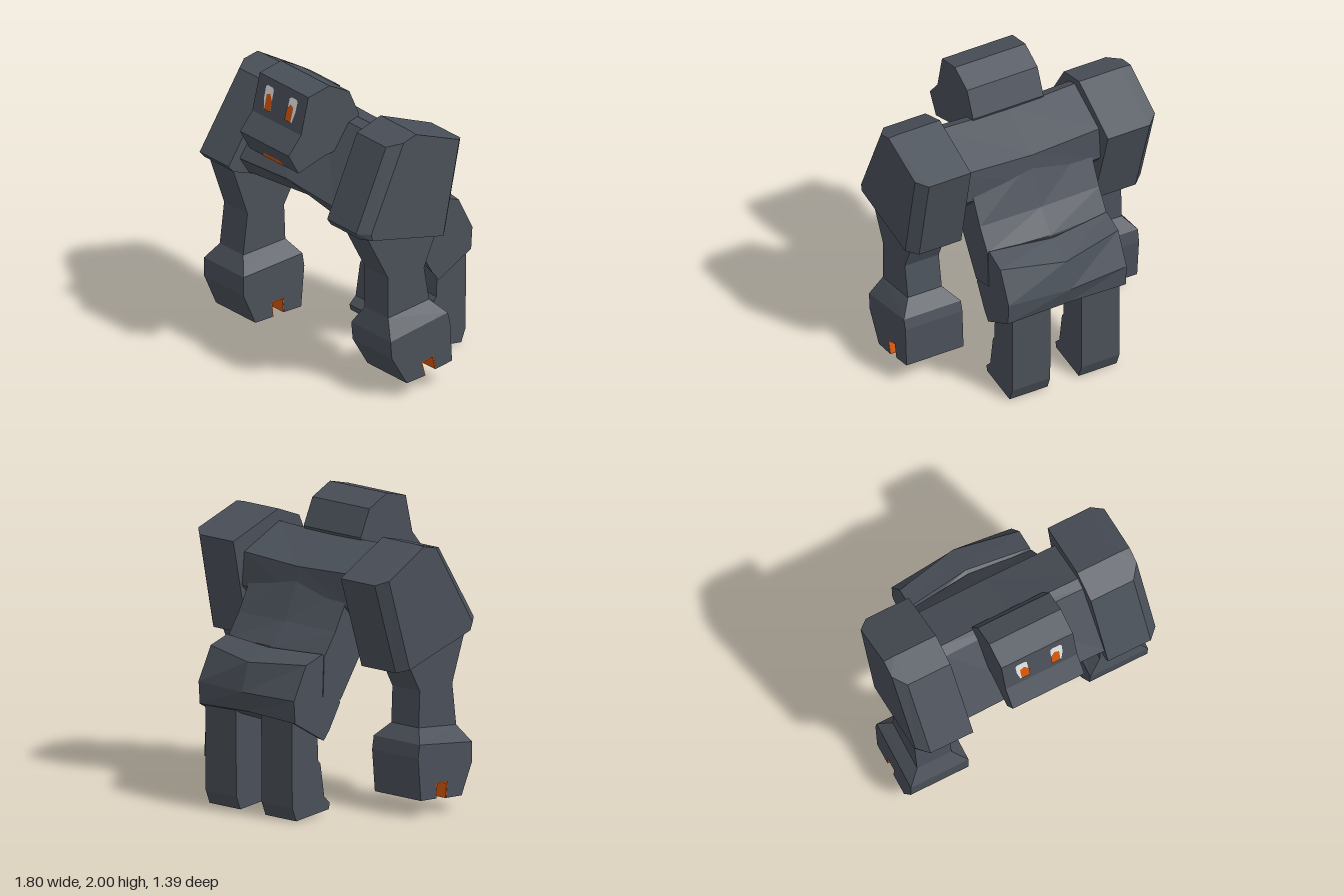
import * as THREE from 'three';

const stone = new THREE.MeshStandardMaterial({ color: 0x4a5059 });
stone.name = 'slate grey';
const ember = new THREE.MeshStandardMaterial({ color: 0xd4560c });
ember.name = 'ember orange';
const white = new THREE.MeshStandardMaterial({ color: 0xe2e2e2 });
white.name = 'eye white';

// Faceted solid through rings of [x, y, z] points, closed at both ends
function loft(name, rings, material = stone) {
  const n = rings[0].length, tris = [];
  for (let r = 0; r < rings.length - 1; r++) {
    for (let i = 0; i < n; i++) {
      const a = rings[r][i], b = rings[r][(i + 1) % n];
      const c = rings[r + 1][(i + 1) % n], d = rings[r + 1][i];
      tris.push([a, b, c], [a, c, d]);
    }
  }
  const sideways = rings[0].every(p => p[0] === rings[0][0][0]);
  const cap = (ring, flip) => {
    const flat = ring.map(p => new THREE.Vector2(sideways ? p[2] : p[0], sideways ? p[1] : p[2]));
    const up = THREE.ShapeUtils.isClockWise(flat);
    for (const f of THREE.ShapeUtils.triangulateShape(flat, [])) {
      const t = f.map(i => ring[i]);
      // make every cap triangle follow the ring direction
      const [p, q, s] = f.map(i => flat[i]);
      const cw = (q.x - p.x) * (s.y - p.y) - (q.y - p.y) * (s.x - p.x) < 0;
      if ((cw !== up) !== flip) t.reverse();
      tris.push(t);
    }
  };
  cap(rings[0], true);
  cap(rings[rings.length - 1], false);
  // turn the solid outward if its volume is negative
  const v = tris.map(t => t.map(p => new THREE.Vector3(...p)));
  const volume = v.reduce((s, [a, b, c]) => s + a.dot(b.clone().cross(c)), 0);
  if (volume < 0) v.forEach(t => t.reverse());
  const g = new THREE.BufferGeometry().setFromPoints(v.flat());
  g.computeVertexNormals();
  const mesh = new THREE.Mesh(g, material);
  mesh.name = name;
  return mesh;
}

// Side profile of [z, y] points placed at x
const at = (x, profile) => profile.map(([z, y]) => [x, y, z]);
const slab = (name, x0, x1, profile, material) => loft(name, [at(x0, profile), at(x1, profile)], material);
// Symmetric solid with a different profile on the centre line
const ridged = (name, w, side, centre) => loft(name, [at(-w, side), at(0, centre), at(w, side)]);
// Horizontal four-sided ring; front and back are [z, y]
const band = (x0, x1, [fz, fy], [bz, by]) => [[x0, fy, fz], [x1, fy, fz], [x1, by, bz], [x0, by, bz]];

// Thin painted face on a sloping plane z = zAt(y)
function plate(name, points, zAt, material) {
  const g = new THREE.ShapeGeometry(new THREE.Shape(points.map(p => new THREE.Vector2(...p))));
  const pos = g.attributes.position;
  for (let i = 0; i < pos.count; i++) pos.setZ(i, zAt(pos.getY(i)));
  g.computeVertexNormals();
  const mesh = new THREE.Mesh(g, material);
  mesh.name = name;
  return mesh;
}

function head() {
  const g = new THREE.Group();
  g.name = 'head';
  g.add(slab('skull', -0.26, 0.26, [[0.36, 2], [0.53, 1.96], [0.59, 1.71], [0.69, 1.59],
    [0.61, 1.45], [0.4, 1.52], [0.2, 1.55], [0.12, 1.74], [0.2, 1.92]]));
  const brow = off => y => 0.53 + (1.96 - y) * 0.24 + off;
  for (const s of [-1, 1]) {
    const m = pts => pts.map(([x, y]) => [s * x, y]);
    g.add(plate('eyeWhite', m([[0.085, 1.9], [0.1, 1.912], [0.155, 1.912], [0.168, 1.9], [0.166, 1.83],
      [0.148, 1.757], [0.08, 1.757]]), brow(0.004), white));
    g.add(plate('iris', m([[0.078, 1.758], [0.078, 1.83], [0.11, 1.87], [0.142, 1.855], [0.14, 1.758]]),
      brow(0.008), ember));
  }
  g.add(plate('mouth', [[-0.11, 1.452], [-0.105, 1.472], [-0.08, 1.488], [0.08, 1.488], [0.105, 1.472],
    [0.11, 1.452]], y => 0.61 + (y - 1.45) * 0.571 + 0.005, ember));
  return g;
}

// Arm on side s: shoulder block, forearm, flared wrist and split fist
function arm(name, s, p) {
  const g = new THREE.Group();
  g.name = name;
  g.add(loft('shoulder', [at(s * 0.5, p.shoulder), at(s * 0.81, p.shoulder), at(s * 0.88, p.inset)]));
  const x0 = s * 0.57, x1 = s * 0.82;
  g.add(loft('forearm', [
    band(x0, x1, ...p.top), band(x0, x1, ...p.elbow), band(x0, x1, ...p.wrist),
    band(s * 0.48, s * 0.9, ...p.knuckle),
  ]));
  const [kf, kb] = p.knuckle;
  g.add(slab('fist', s * 0.48, s * 0.9, [kf, ...p.front, ...p.notch, ...p.back, kb]));
  // glowing lining of the notch
  const [a, b, c, d] = p.notch, t = 0.007;
  g.add(slab('fistGlow', s * 0.481, s * 0.899, [a, b, c, d, [d[0] + t, d[1]], [c[0] + t, c[1] - t],
    [b[0] - t, b[1] - t], [a[0] - t, a[1]]], ember));
  return g;
}

export function createModel() {
  const model = new THREE.Group();
  model.name = 'stoneGolem';
  model.add(head());

  // Torso
  model.add(ridged('chest', 0.51,
    [[0.14, 1.735], [0.21, 1.71], [0.51, 1.27], [0.44, 1.16], [0, 1.15], [-0.2, 1.36], [-0.18, 1.58]],
    [[0.13, 1.72], [0.2, 1.7], [0.51, 1.3], [0.28, 1.11], [0, 1.1], [-0.22, 1.36], [-0.19, 1.56]]));
  model.add(ridged('waist', 0.44,
    [[-0.14, 1.5], [-0.29, 1.21], [-0.39, 1.06], [-0.4, 0.8], [-0.24, 0.76], [-0.05, 1.05], [0.15, 1.17]],
    [[-0.18, 1.52], [-0.31, 1.22], [-0.43, 1.07], [-0.45, 0.85], [-0.28, 0.8], [-0.1, 1], [0.2, 1.12]]));
  model.add(ridged('hips', 0.435,
    [[-0.36, 1.02], [-0.4, 1.08], [-0.55, 1.03], [-0.66, 0.81], [-0.65, 0.66], [-0.39, 0.51], [-0.34, 0.57], [-0.24, 0.74]],
    [[-0.4, 1.04], [-0.46, 1.07], [-0.645, 1], [-0.7, 0.81], [-0.66, 0.68], [-0.43, 0.6], [-0.37, 0.68], [-0.27, 0.8]]));

  // Legs
  for (const s of [-1, 1]) {
    model.add(slab(s > 0 ? 'leftLeg' : 'rightLeg', s * 0.115, s * 0.395, [[-0.41, 0.62], [-0.4, 0.375],
      [-0.38, 0.35], [-0.345, 0.13], [-0.295, 0.08], [-0.305, 0.04], [-0.6, 0.005], [-0.635, 0.095], [-0.64, 0.7]]));
  }

  // Arms, the right one swung further forward
  model.add(arm('leftArm', 1, {
    shoulder: [[0.13, 1.815], [0.32, 1.745], [0.56, 1.2], [0.53, 1.155], [-0.15, 1.03], [-0.28, 1.66]],
    inset: [[0.13, 1.81], [0.23, 1.775], [0.49, 1.2], [0.48, 1.155], [-0.09, 1.045], [-0.22, 1.685]],
    top: [[0.5, 1.19], [-0.09, 1.09]],
    elbow: [[0.31, 0.83], [0.02, 0.83]],
    wrist: [[0.31, 0.55], [-0.02, 0.6]],
    knuckle: [[0.35, 0.42], [-0.11, 0.51]],
    front: [[0.34, 0.3], [0.22, 0.1]],
    notch: [[0.075, 0.115], [0.1, 0.215], [0.005, 0.24], [-0.015, 0.14]],
    back: [[-0.145, 0.165], [-0.13, 0.44]],
  }));
  model.add(arm('rightArm', -1, {
    shoulder: [[0.08, 1.79], [0.28, 1.74], [0.6, 1.235], [0.56, 1.19], [-0.11, 0.97], [-0.3, 1.575]],
    inset: [[0.08, 1.785], [0.19, 1.76], [0.52, 1.22], [0.5, 1.17], [-0.05, 0.99], [-0.24, 1.605]],
    top: [[0.52, 1.19], [-0.03, 1.06]],
    elbow: [[0.395, 0.83], [0.1, 0.82]],
    wrist: [[0.43, 0.55], [0.09, 0.58]],
    knuckle: [[0.495, 0.44], [0.02, 0.49]],
    front: [[0.495, 0.31], [0.4, 0.1]],
    notch: [[0.26, 0.105], [0.27, 0.21], [0.175, 0.22], [0.165, 0.115]],
    back: [[0.03, 0.12], [0.005, 0.4]],
  }));
  return model;
}
